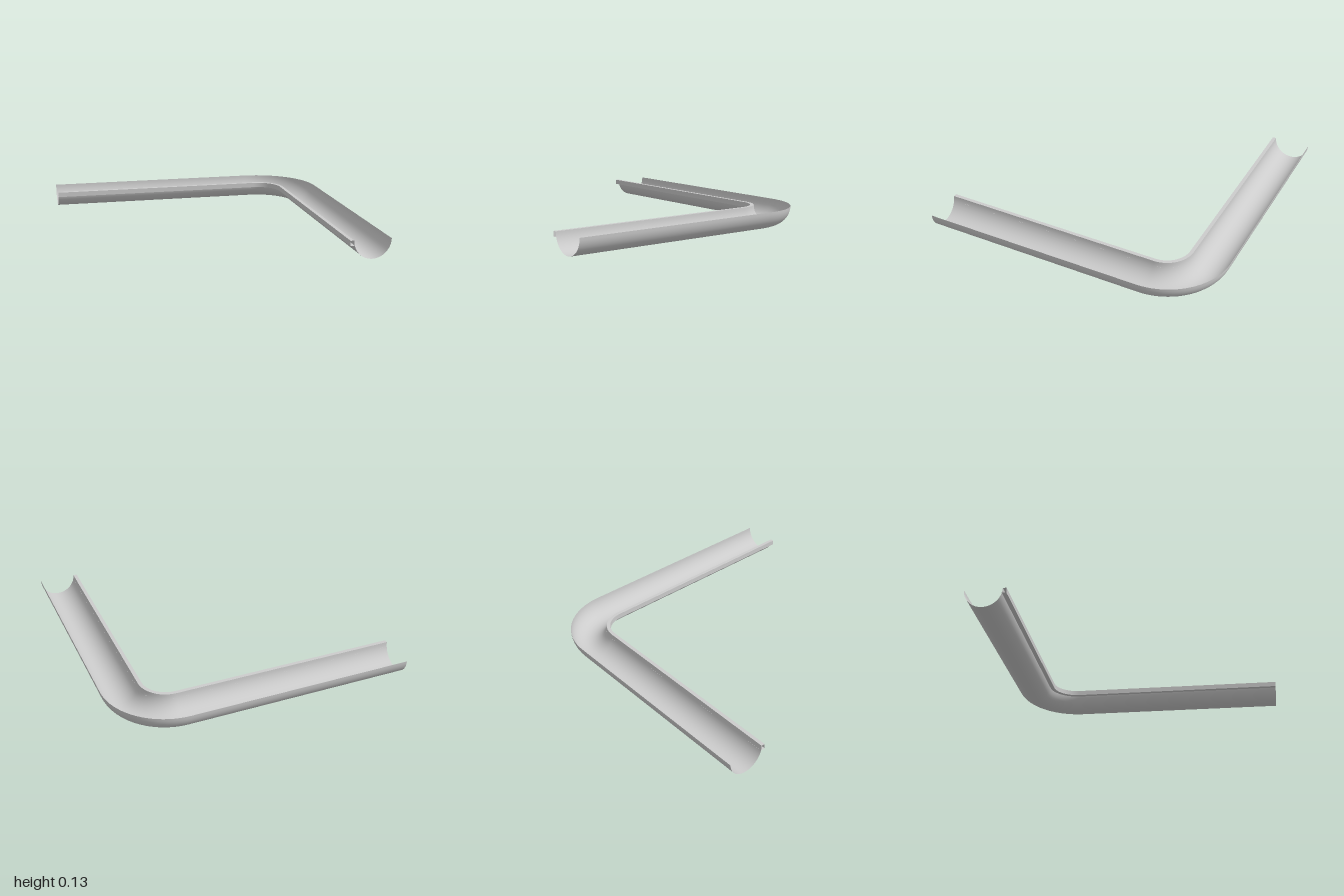
import * as THREE from 'three';
import { toCreasedNormals } from 'three/addons/utils/BufferGeometryUtils.js';

const BEND = 0.55;   // bend centre at (BEND, -BEND)
const TOP = 0.13;    // rim height
const BEND_STEPS = 20;

// Cross-sections along the run: origin plus outward direction
function stations() {
  const list = [{ x: -1, z: -BEND, dx: 0, dz: -1 }];
  for (let i = 0; i <= BEND_STEPS; i++) {
    const a = (i / BEND_STEPS) * Math.PI / 2;
    list.push({ x: BEND, z: -BEND, dx: Math.sin(a), dz: -Math.cos(a) });
  }
  list.push({ x: BEND, z: 1, dx: 1, dz: 0 });
  return list;
}

// Sweep an open profile of [distance from bend centre, height] along the run
function sweep(profile) {
  const run = stations(), n = profile.length;
  const pos = [], idx = [];
  run.forEach((s, i) => {
    profile.forEach(([r, y], j) => {
      pos.push(s.x + r * s.dx, y, s.z + r * s.dz);
      if (i < run.length - 1 && j < n - 1) {
        const a = i * n + j, b = a + n;
        idx.push(a, a + 1, b, a + 1, b + 1, b);
      }
    });
  });
  const geo = new THREE.BufferGeometry();
  geo.setAttribute('position', new THREE.Float32BufferAttribute(pos, 3));
  geo.setIndex(idx);
  return toCreasedNormals(geo, Math.PI / 6);
}

export function createModel() {
  const group = new THREE.Group();
  group.name = 'cornerGutter';
  const material = new THREE.MeshStandardMaterial({ color: 0xcccccc, side: THREE.DoubleSide });
  const add = (name, profile) => {
    const mesh = new THREE.Mesh(sweep(profile), material);
    mesh.name = name;
    group.add(mesh);
  };

  // Half-round trough, from inner rim to outer rim
  const trough = [];
  for (let i = 0; i <= 24; i++) {
    const a = (i / 24) * Math.PI;
    trough.push([0.3225 - 0.1275 * Math.cos(a), TOP - TOP * Math.sin(a)]);
  }
  add('trough', trough);

  // Folded lip along the inner rim
  add('innerLip', [[0.195, TOP], [0.17, TOP], [0.17, 0.095], [0.2, 0.095]]);

  return group;
}
